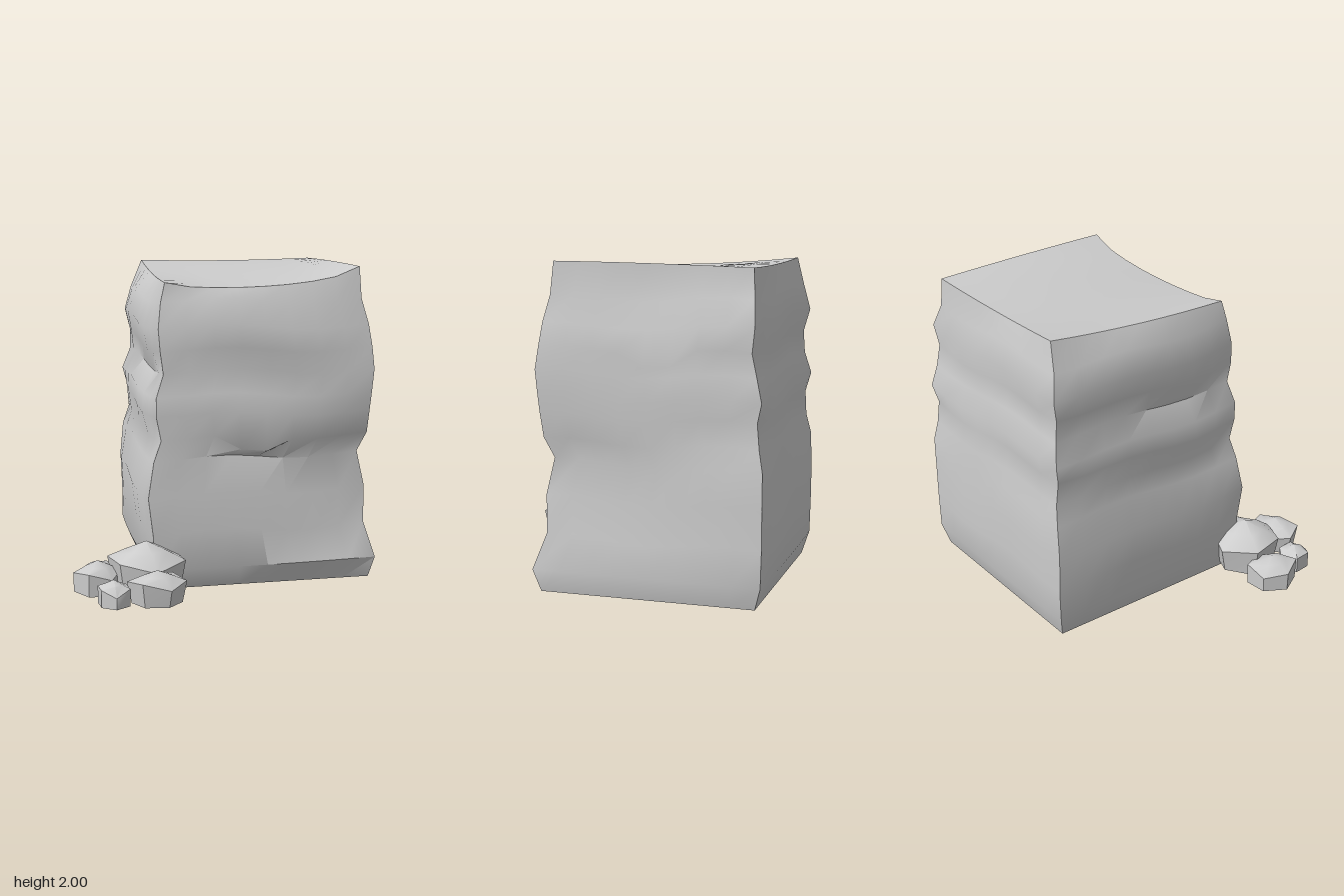
import * as THREE from 'three';
import { toCreasedNormals } from 'three/addons/utils/BufferGeometryUtils.js';

// Pillar rings: y, then x,z of front-left, front-right, back-right, back-left corners (as seen from the front), then side bulge
const RINGS = [
  [0, -.44, .43, .94, .42, .93, -.91, -.42, -.91, 0],
  [.14, -.47, .5, .97, .465, .97, -.95, -.47, -.95, .02],
  [.36, -.48, .49, .91, .39, .97, -.955, -.47, -.955, .025],
  [.6, -.51, .5, .91, .39, .97, -.955, -.48, -.955, .025],
  [.82, -.47, .47, .87, .35, .97, -.955, -.46, -.95, .005],
  [.95, -.42, .45, .92, .4, .95, -.93, -.42, -.925, .03],
  [1.1, -.45, .46, .93, .42, .94, -.915, -.43, -.915, .04],
  [1.22, -.45, .46, .94, .43, .965, -.945, -.46, -.945, .02],
  [1.36, -.4, .43, .95, .44, .94, -.91, -.41, -.91, .005],
  [1.5, -.42, .44, .94, .42, .94, -.88, -.41, -.9, .035],
  [1.64, -.43, .43, .92, .4, .965, -.9, -.44, -.935, .035],
  [1.8, -.41, .4, .88, .365, .88, -.88, -.4, -.9, .025],
  [1.95, -.38, .38, .87, .345, .87, -.87, -.33, -.87, 0],
];
const LAST = RINGS.length - 1;
const TOP_Y = [1.92, 2, 1.98, 1.98];
const RIM_DIP = [.075, -.005, .01, .02]; // sag of the front, +x, back and -x rims
const BULGE = [1.2, 0, .5, 1.2]; // bulge strength of the same sides
const OUT = [[0, 1], [1, 0], [0, -1], [-1, 0]];
const lerp = THREE.MathUtils.lerp;
const hump = (t) => 4 * t * (1 - t);
// The front rim sags broadly and climbs steeply at its +x end
const frontSag = (t) => Math.pow(hump(t), .6) * (.8 + .4 * t);

// Smooth grid surface from a point function, sharp only at strong folds
function grid(cols, rows, crease, point) {
  const pos = [], index = [];
  for (let j = 0; j <= rows; j++) {
    for (let i = 0; i <= cols; i++) pos.push(...point(i / cols, j));
  }
  for (let j = 0; j < rows; j++) {
    for (let i = 0; i < cols; i++) {
      const a = j * (cols + 1) + i, b = a + 1, c = a + cols + 1, d = c + 1;
      index.push(a, b, d, a, d, c);
    }
  }
  const g = new THREE.BufferGeometry();
  g.setAttribute('position', new THREE.Float32BufferAttribute(pos, 3));
  g.setIndex(index);
  return toCreasedNormals(g, crease);
}

// Point on one side of the pillar
function sidePoint(side, t, level) {
  const r = RINGS[level], next = (side + 1) % 4;
  const x = lerp(r[1 + side * 2], r[1 + next * 2], t);
  const z = lerp(r[2 + side * 2], r[2 + next * 2], t);
  let y = r[0], push = r[9] * BULGE[side] * hump(t);
  if (level === LAST) {
    y = lerp(TOP_Y[side], TOP_Y[next], t) - RIM_DIP[side] * (side === 0 ? frontSag(t) : hump(t));
  } else if (level > 1) {
    y += .03 * hump(t) * Math.sin(t * 6 + side * 2);
    push += .006 * hump(t) * Math.sin(t * 9 + level * 1.7 + side);
  }
  // Undercut ledges in the front and +x walls
  if (side === 0 && level === 5 && t > .3 && t < .55) y -= .09;
  if (side === 1 && level === 9 && t > .4 && t < .65) y -= .08;
  return [x + OUT[side][0] * push, y, z + OUT[side][1] * push];
}

// Point on the sagging cap, matching the side rims
function capPoint(u, v) {
  const r = RINGS[LAST];
  const mix = (a, b, c, d) => lerp(lerp(a, b, u), lerp(d, c, u), v);
  const dip = RIM_DIP[0] * frontSag(u) * (1 - v) + hump(u) * RIM_DIP[2] * v
    + hump(v) * (RIM_DIP[1] * u + RIM_DIP[3] * (1 - u));
  const crown = .02 * hump(u) * hump(v);
  return [mix(r[1], r[3], r[5], r[7]), mix(...TOP_Y) - dip + crown, mix(r[2], r[4], r[6], r[8])];
}

// Small hollow boulder: base, shoulder and upper ring closed by a tip
function boulder(x, z, rx, rz, base, shoulder, top, turn, foot) {
  const n = 6, levels = [[foot, base], [1, shoulder], [.52, lerp(shoulder, top, .55)], [0, top]];
  return grid(n, levels.length - 1, .75, (t, j) => {
    const k = Math.round(t * n) % n, a = turn - k / n * Math.PI * 2;
    const [s, y] = levels[j];
    const wob = 1 + .05 * Math.sin(k * 2.4 + turn * 3);
    const lift = j === 1 ? .025 * Math.sin(k * 2.1 + turn) : 0;
    return [x + Math.cos(a) * rx * s * wob, y + lift, z + Math.sin(a) * rz * s * wob];
  });
}

export function createModel() {
  const model = new THREE.Group();
  const stone = new THREE.MeshStandardMaterial({ color: 0xcccccc, side: THREE.DoubleSide });
  stone.name = 'grey stone';
  const add = (parent, name, geometry) => {
    const mesh = new THREE.Mesh(geometry, stone);
    mesh.name = name;
    parent.add(mesh);
  };

  // Open-bottomed pillar
  const pillar = new THREE.Group();
  pillar.name = 'rockPillar';
  ['frontWall', 'leftWall', 'backWall', 'rightWall'].forEach((name, side) => {
    add(pillar, name, grid(8, LAST, .68, (t, j) => sidePoint(side, t, j)));
  });
  add(pillar, 'topCap', grid(8, 8, .68, (u, j) => capPoint(u, j / 8)));
  model.add(pillar);

  // Boulders at the front corner
  const boulders = new THREE.Group();
  boulders.name = 'boulders';
  [
    [-.53, .525, .24, .235, .04, .225, .345, .4, .85],
    [-.83, .5, .145, .17, .04, .16, .23, 0, .98],
    [-.765, .76, .1, .11, .025, .12, .18, .5, 1],
    [-.51, .82, .175, .15, .04, .17, .24, .15, .85],
  ].forEach((b, i) => add(boulders, 'boulder' + (i + 1), boulder(...b)));
  model.add(boulders);
  return model;
}
